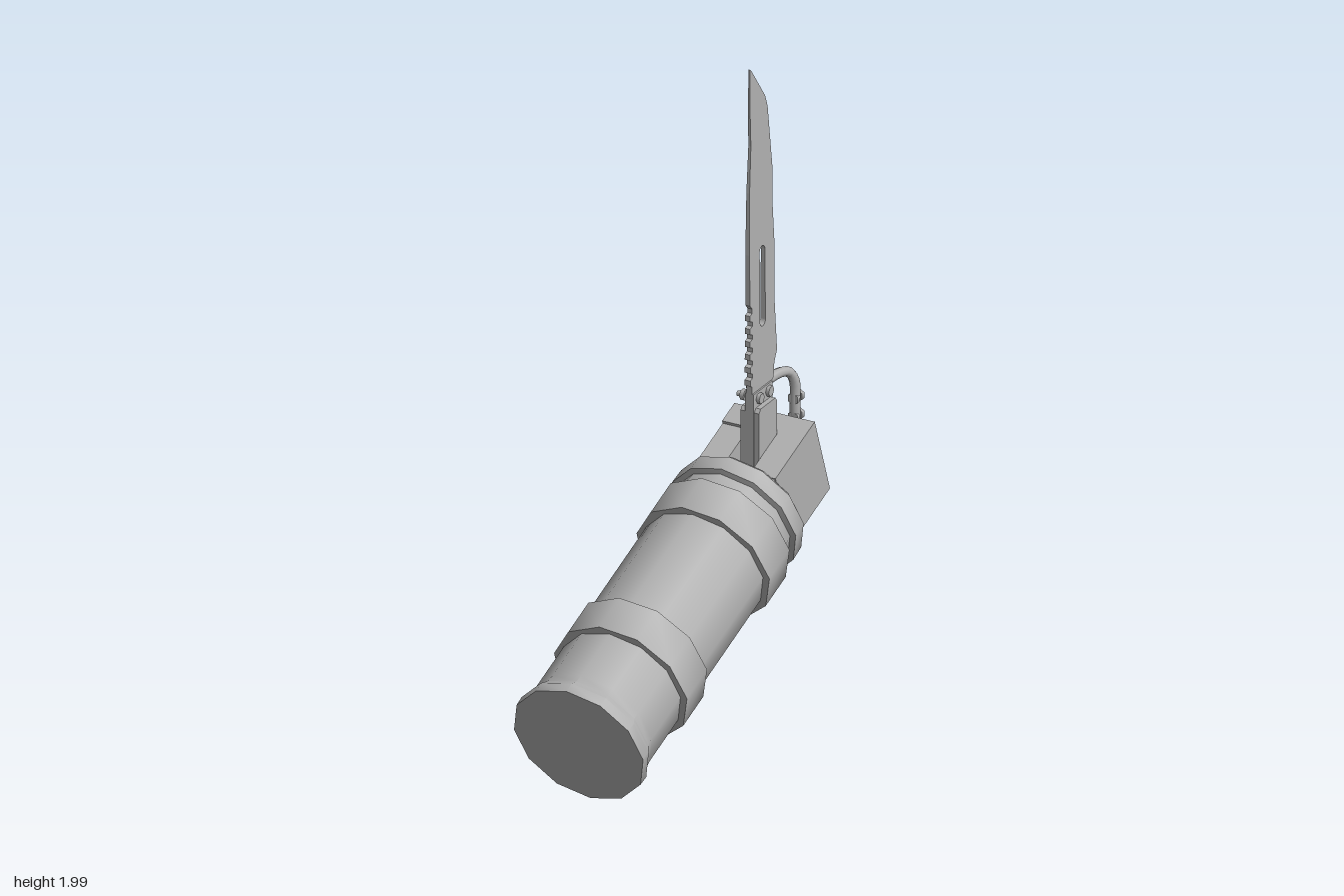
import * as THREE from 'three';
import { toCreasedNormals } from 'three/addons/utils/BufferGeometryUtils.js';

const grey = new THREE.MeshStandardMaterial({ color: 0xb0b0b0 });
grey.name = 'plain grey';
const V2 = (a, b) => new THREE.Vector2(a, b);

function add(parent, name, geometry, x = 0, y = 0, z = 0) {
  const mesh = new THREE.Mesh(geometry, grey);
  mesh.name = name;
  mesh.position.set(x, y, z);
  parent.add(mesh);
  return mesh;
}

// Faceted turned part; profile is [radius, height] from bottom to top
function turned(profile, sides, start = 0) {
  const g = new THREE.LatheGeometry(profile.map(p => V2(...p)), sides, start);
  return toCreasedNormals(g, 0.62);
}

// Flat plate standing in the y/z plane; points are [distance to the back, height]
function plate(points, x0, x1, hole) {
  const shape = new THREE.Shape(points.map(p => V2(...p)));
  if (hole) shape.holes.push(hole);
  const g = new THREE.ExtrudeGeometry(shape, { depth: x1 - x0, bevelEnabled: false });
  g.rotateY(Math.PI / 2);
  g.translate(x0, 0, 0);
  return g;
}

// Box given by its extents
function block(parent, name, x0, x1, y0, y1, z0, z1) {
  return add(parent, name, new THREE.BoxGeometry(x1 - x0, y1 - y0, z1 - z0),
    (x0 + x1) / 2, (y0 + y1) / 2, (z0 + z1) / 2);
}

function makeCanister() {
  const canister = new THREE.Group();
  canister.name = 'canister';
  canister.position.set(0, 0.215, 0.625);
  canister.rotation.x = -1.222;

  // Body with flared foot and rounded shoulder
  add(canister, 'body', turned([
    [0, 0], [0.217, 0], [0.218, 0.035], [0.203, 0.06], [0.2, 0.09],
    [0.2, 0.96], [0.195, 0.995], [0, 0.995],
  ], 12));
  add(canister, 'shoulder', turned([
    [0.18, 0.99], [0.212, 1.0], [0.21, 1.055], [0.195, 1.07], [0.165, 1.08], [0, 1.08],
  ], 12));

  // Two raised bands
  for (const [y0, y1] of [[0.275, 0.405], [0.81, 0.94]]) {
    add(canister, 'band', turned([
      [0.185, y0], [0.222, y0], [0.222, y1], [0.185, y1],
    ], 11, Math.PI / 2));
  }

  // Hollow end block around the blade mount
  const bottom = -0.125, top = 0.146;
  block(canister, 'blockBack', -0.135, 0.135, 1.245, 1.325, bottom, top);
  block(canister, 'blockRightWall', -0.135, -0.05, 1.07, 1.245, bottom, top - 0.01);
  block(canister, 'blockLeftWall', 0.05, 0.135, 1.07, 1.245, bottom, top);
  return canister;
}

function makeKnife() {
  const knife = new THREE.Group();
  knife.name = 'knife';

  // Blade outline: back edge, saw teeth, point, cutting edge
  const outline = [[0.5, 0.7], [0.385, 0.7], [0.385, 0.97]];
  for (let i = 0; i < 6; i++) {
    const y = 0.975 + i * 0.042;
    outline.push([0.374, y], [0.374, y + 0.018], [0.388, y + 0.022], [0.388, y + 0.036]);
  }
  outline.push([0.376, 1.235], [0.373, 1.4], [0.377, 1.6], [0.387, 1.75], [0.384, 1.85], [0.384, 2.0],
    [0.395, 1.99], [0.475, 1.88], [0.49, 1.84], [0.508, 1.7], [0.518, 1.62], [0.517, 1.5],
    [0.526, 1.38], [0.524, 1.2], [0.537, 1.03], [0.52, 0.995], [0.515, 0.95], [0.5, 0.94]);

  // Long rounded slot
  const slot = new THREE.Path();
  slot.absarc(0.452, 1.157, 0.016, Math.PI, 2 * Math.PI, false);
  slot.absarc(0.452, 1.385, 0.016, 0, Math.PI, false);
  slot.closePath();
  const g = plate(outline, -0.01, 0.01, slot);
  const p = g.attributes.position;
  for (let i = 0; i < p.count; i++) { // thin towards the point
    const t = Math.max(0, (p.getY(i) - 0.95) / 1.05);
    p.setX(i, p.getX(i) * (1 - 0.75 * t));
  }
  g.computeVertexNormals();
  add(knife, 'blade', g, 0.017, 0, 0);

  // Mounting cheeks on both sides of the tang
  const cheek = [[0.388, 0.56], [0.498, 0.56], [0.498, 0.885], [0.488, 0.897], [0.398, 0.897], [0.388, 0.885]];
  add(knife, 'rightCheek', plate(cheek, -0.014, 0.008));
  add(knife, 'leftCheek', plate(cheek, 0.026, 0.048));
  block(knife, 'tang', 0.002, 0.032, 0.57, 0.945, -0.5, -0.385);

  // Bolts through the blade root
  for (const z of [-0.415, -0.473]) {
    const shank = new THREE.CylinderGeometry(0.009, 0.009, 0.08, 8).rotateZ(Math.PI / 2);
    const nut = new THREE.CylinderGeometry(0.017, 0.017, 0.014, 6).rotateZ(Math.PI / 2);
    add(knife, 'bolt', shank, 0.002, 0.923, z);
    add(knife, 'nut', nut, -0.018, 0.923, z);
    add(knife, 'boltHead', nut, 0.036, 0.923, z);
  }
  return knife;
}

function makeBail() {
  const bail = new THREE.Group();
  bail.name = 'bail';

  // Bent rod from the blade root round the back to the eye
  const path = new THREE.CatmullRomCurve3([
    [-0.005, 0.922, -0.41], [-0.005, 0.924, -0.52], [0.0, 0.922, -0.6], [0.01, 0.91, -0.64],
    [0.018, 0.875, -0.659], [0.018, 0.8, -0.662], [0.018, 0.62, -0.664], [0.018, 0.55, -0.66],
    [0.016, 0.51, -0.635], [0.01, 0.497, -0.59], [0.005, 0.492, -0.53], [0.005, 0.485, -0.48],
  ].map(p => new THREE.Vector3(...p)));
  add(bail, 'rod', new THREE.TubeGeometry(path, 48, 0.016, 8));

  // Pointed eye plate under the block
  const hole = new THREE.Path();
  hole.absarc(0.458, 0.443, 0.033, 0, 2 * Math.PI, true);
  add(bail, 'eye', plate([
    [0.415, 0.42], [0.44, 0.402], [0.47, 0.398], [0.495, 0.388], [0.5, 0.42],
    [0.506, 0.45], [0.52, 0.48], [0.52, 0.505], [0.42, 0.49], [0.412, 0.45],
  ], -0.005, 0.02, hole));

  // Studs with nuts along the back of the rod
  for (const y of [0.82, 0.76, 0.665, 0.605]) {
    const stud = new THREE.CylinderGeometry(0.009, 0.009, 0.05, 8).rotateX(Math.PI / 2);
    const nut = new THREE.CylinderGeometry(0.019, 0.019, 0.014, 6).rotateX(Math.PI / 2);
    add(bail, 'stud', stud, 0.018, y, -0.673);
    add(bail, 'studNut', nut, 0.018, y, -0.682);
    add(bail, 'studCollar', nut, 0.018, y, -0.655);
  }
  return bail;
}

export function createModel() {
  const model = new THREE.Group();
  model.name = 'canisterWithBlade';
  model.add(makeCanister(), makeKnife(), makeBail());
  return model;
}
